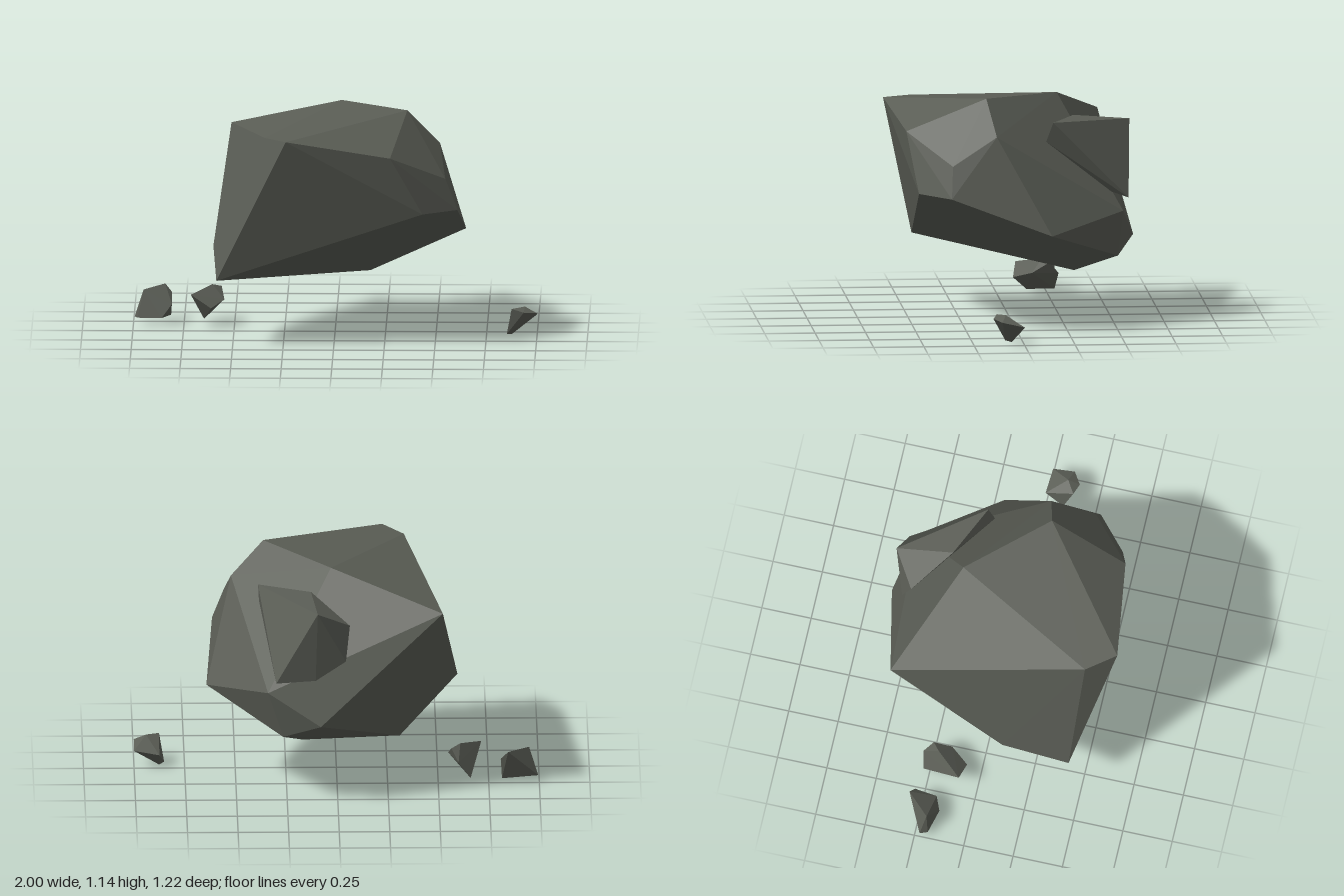
import * as THREE from 'three';
import { ConvexGeometry } from 'three/addons/geometries/ConvexGeometry.js';

// Faceted stone: the convex hull of a few corner points
function stone(name, corners, material) {
  const points = corners.map((c) => new THREE.Vector3(...c));
  const mesh = new THREE.Mesh(new ConvexGeometry(points), material);
  mesh.name = name;
  return mesh;
}

export function createModel() {
  const group = new THREE.Group();
  group.name = 'floatingRock';
  const rock = new THREE.MeshStandardMaterial({ color: 0x5a5d55, flatShading: true });
  rock.name = 'dark grey stone';

  // Large floating boulder
  group.add(stone('boulder', [
    // top
    [-0.235, 1.065, 0.605], [-0.34, 1.06, 0.465], [-0.52, 0.96, -0.48],
    [0.03, 1.12, -0.235], [0.36, 1.14, 0.14],
    // sides
    [0.52, 0.97, 0.1], [0.28, 0.97, 0.53], [0.55, 0.83, 0.32],
    [0.61, 0.675, 0.33], [0.44, 0.68, 0.48], [0.645, 0.49, -0.165],
    [0.345, 0.57, -0.54], [0.085, 0.415, -0.61], [-0.6, 0.45, 0.105],
    // underside
    [0.27, 0.335, -0.52], [0.17, 0.25, -0.31], [-0.31, 0.26, -0.28], [-0.58, 0.335, 0.436],
  ], rock));

  // Jagged outcrop on the back
  group.add(stone('outcrop', [
    [0.1, 0.995, -0.59], [0.39, 1.02, -0.19], [0.385, 0.925, -0.155], [0.305, 0.63, -0.57],
    [0.13, 1.02, -0.31], [-0.06, 0.9, -0.48], [0.11, 0.64, -0.56], [-0.04, 0.73, -0.53],
    [0.3, 0.66, -0.485],
  ], rock));

  // Small loose shards around the base
  group.add(stone('rightOuterShard', [
    [-0.995, 0.03, -0.225], [-0.95, 0.17, -0.2], [-0.845, 0.18, -0.31], [-0.81, 0.14, -0.29],
    [-0.815, 0.03, -0.27], [-0.81, 0.1, -0.18], [-0.86, 0.035, -0.155], [-0.98, 0.03, -0.187],
  ], rock));
  group.add(stone('rightInnerShard', [
    [-0.715, 0.165, -0.09], [-0.61, 0.195, -0.215], [-0.565, 0.18, -0.25], [-0.55, 0.13, -0.16],
    [-0.615, 0.1, -0.07], [-0.66, 0.035, -0.28], [-0.65, 0.035, -0.14], [-0.6, 0.12, -0.295],
  ], rock));
  group.add(stone('leftShard', [
    [0.935, 0.125, 0.15], [0.875, 0.14, 0.13], [0.94, 0.145, 0.09], [1, 0.115, 0.11],
    [1, 0.09, 0], [0.875, 0.07, -0.01], [0.875, 0, 0.055], [0.85, 0.005, 0.085],
  ], rock));

  return group;
}
